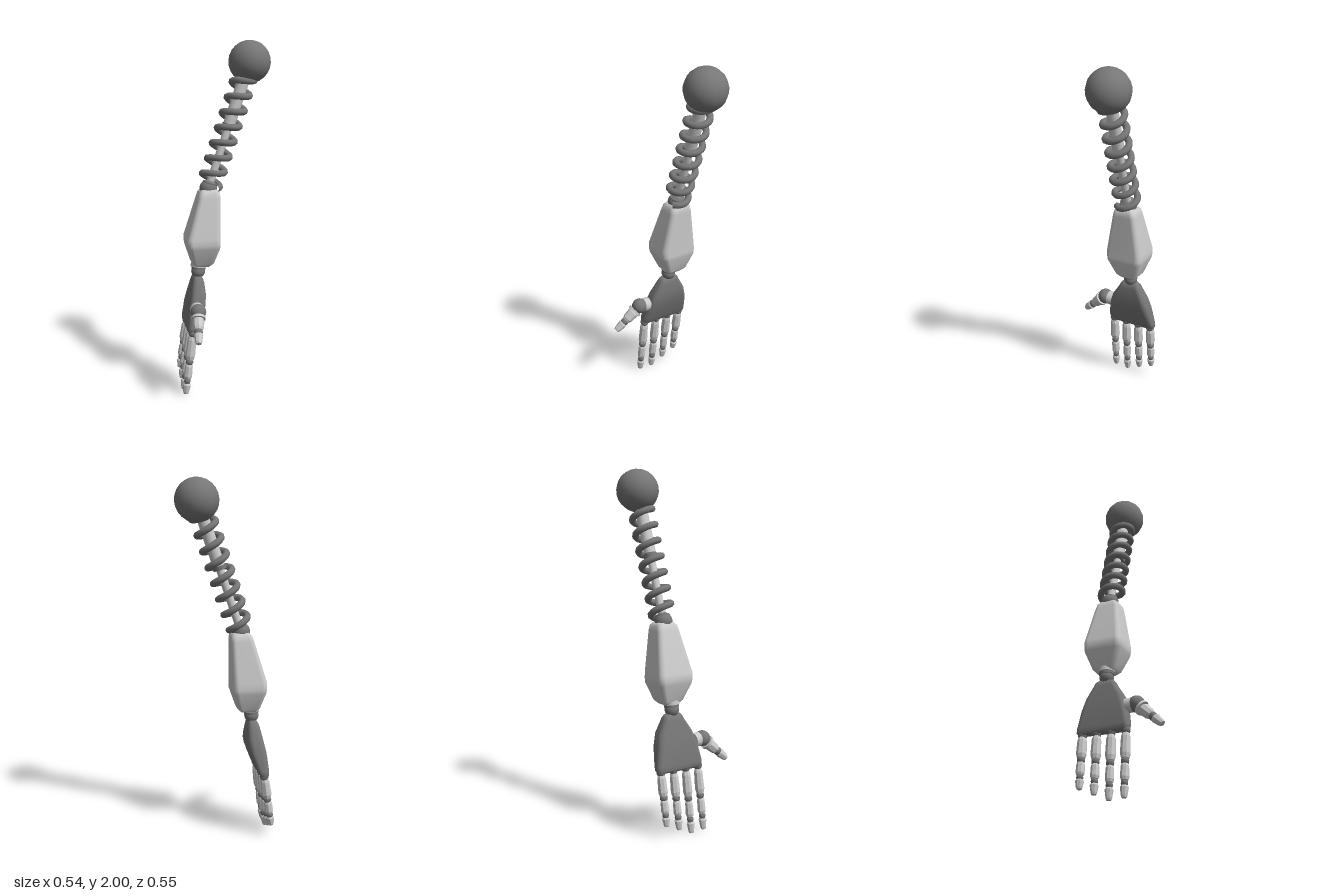
import * as THREE from 'three';

const V = (x, y, z) => new THREE.Vector3(x, y, z);
const light = new THREE.MeshStandardMaterial({ color: 0xcccccc });
const lightFlat = new THREE.MeshStandardMaterial({ color: 0xcccccc, flatShading: true });
const dark = new THREE.MeshStandardMaterial({ color: 0x777777 });
const YAW = 0.2;

function add(parent, name, geometry, material) {
  const mesh = new THREE.Mesh(geometry, material);
  mesh.name = name;
  parent.add(mesh);
  return mesh;
}

// Turn an upright object at the origin so that it runs from a towards b
function aim(object, a, b) {
  object.position.copy(a);
  object.quaternion.setFromUnitVectors(V(0, 1, 0), b.clone().sub(a).normalize());
  return object;
}

// Lathed part running from a to b; profile rows are [radius, fraction of length]
function turned(parent, name, a, b, profile, material, sides) {
  const len = a.distanceTo(b);
  const pts = profile.map(([r, t]) => new THREE.Vector2(r, t * len));
  return aim(add(parent, name, new THREE.LatheGeometry(pts, sides), material), a, b);
}

function rod(parent, name, a, b, r, material, sides = 12) {
  return turned(parent, name, a, b, [[0, 0], [r, 0], [r, 0], [r, 1], [r, 1], [0, 1]], material, sides);
}

function ball(parent, name, p, r, material = dark, ws = 16, hs = 12) {
  const mesh = add(parent, name, new THREE.SphereGeometry(r, ws, hs), material);
  mesh.position.copy(p);
  return mesh;
}

// Loft of rounded rectangles, bottom to top: [y, centre x, centre z, half width, half depth, corner]
function loft(sections, yaw) {
  const pos = [], index = [], steps = 4, n = 4 * (steps + 1);
  const c = Math.cos(yaw), s = Math.sin(yaw);
  for (const [y, cx, cz, hw, hd, r] of sections) {
    for (let k = 0; k < 4; k++) {
      const sx = k === 0 || k === 3 ? 1 : -1, sz = k < 2 ? 1 : -1;
      for (let j = 0; j <= steps; j++) {
        const a = (k + j / steps) * Math.PI / 2;
        const x = sx * (hw - r) + r * Math.cos(a), z = sz * (hd - r) + r * Math.sin(a);
        pos.push(cx + x * c + z * s, y, cz - x * s + z * c);
      }
    }
  }
  const rows = sections.length;
  for (let i = 0; i < rows - 1; i++) {
    for (let j = 0; j < n; j++) {
      const a = i * n + j, b = i * n + (j + 1) % n;
      index.push(a, a + n, b, b, a + n, b + n);
    }
  }
  // end caps
  const bottom = rows * n, top = bottom + 1, first = sections[0], last = sections[rows - 1];
  pos.push(first[1], first[0], first[2], last[1], last[0], last[2]);
  for (let j = 0; j < n; j++) {
    const k = (j + 1) % n, o = (rows - 1) * n;
    index.push(bottom, j, k, top, o + k, o + j);
  }
  const g = new THREE.BufferGeometry();
  g.setAttribute('position', new THREE.Float32BufferAttribute(pos, 3));
  g.setIndex(index);
  g.computeVertexNormals();
  return g;
}

// Faceted light sleeve with chamfered ends
function sleeve(parent, name, a, b, r0, r1) {
  const profile = [[0, 0], [r0 * 0.78, 0], [r0, 0.14], [r1, 0.82], [r1 * 0.78, 1], [0, 1]];
  return turned(parent, name, a, b, profile, lightFlat, 8);
}

// Finger: dark core and joints with three light sleeves, root to tip
function finger(name, root, tip) {
  const g = new THREE.Group();
  g.name = name;
  const at = t => root.clone().lerp(tip, t);
  rod(g, 'fingerCore', root, at(0.9), 0.016, dark, 8);
  [[0.0, 0.025], [0.47, 0.022], [0.79, 0.019]].forEach(([t, r]) => ball(g, 'fingerJoint', at(t), r, dark, 10, 8));
  sleeve(g, 'fingerBase', at(0.05), at(0.43), 0.025, 0.028);
  sleeve(g, 'fingerMiddle', at(0.51), at(0.75), 0.022, 0.024);
  sleeve(g, 'fingerTip', at(0.83), tip, 0.023, 0.017);
  return g;
}

export function createModel() {
  const model = new THREE.Group();
  model.name = 'springArm';

  // Shoulder and upper arm
  const elbow = V(-0.088, 1.165, -0.094), shoulder = V(0.147, 1.882, -0.155);
  const along = t => elbow.clone().lerp(shoulder, t);
  aim(ball(model, 'shoulderBall', shoulder, 0.119, dark, 16, 12), shoulder, shoulder.clone().add(shoulder).sub(elbow));
  ball(model, 'elbowBall', along(0.015), 0.05);
  rod(model, 'lowerRod', elbow, along(0.6), 0.022, light);
  rod(model, 'upperRod', along(0.5), along(0.95), 0.034, light);
  rod(model, 'rodCollar', along(0.49), along(0.52), 0.038, dark);
  rod(model, 'elbowCollar', along(0.0), along(0.06), 0.042, dark);

  // Coil spring round the rods
  const length = elbow.distanceTo(shoulder), turns = 7.6, helix = [];
  for (let i = 0; i <= turns * 14; i++) {
    const a = i / 14 * 2 * Math.PI + 0.8;
    helix.push(V(Math.sin(a) * 0.06, length * (0.035 + 0.119 * i / 14), Math.cos(a) * 0.06));
  }
  const path = new THREE.CatmullRomCurve3(helix);
  aim(add(model, 'spring', new THREE.TubeGeometry(path, 220, 0.019, 8), dark), elbow, shoulder);

  // Forearm shell
  add(model, 'forearm', loft([
    [0.725, -0.124, -0.083, 0.044, 0.048, 0.022],
    [0.745, -0.122, -0.083, 0.062, 0.068, 0.026],
    [0.84, -0.121, -0.081, 0.092, 0.106, 0.03],
    [0.865, -0.122, -0.08, 0.095, 0.109, 0.03],
    [0.9, -0.122, -0.08, 0.094, 0.108, 0.03],
    [1.125, -0.086, -0.093, 0.064, 0.07, 0.025],
    [1.155, -0.083, -0.094, 0.058, 0.063, 0.025],
    [1.172, -0.082, -0.094, 0.042, 0.046, 0.02],
  ], YAW), light);

  // Wrist
  const wristTop = V(-0.14, 0.745, -0.073), wristLow = V(-0.147, 0.66, -0.068);
  const wristAt = t => wristTop.clone().lerp(wristLow, t);
  rod(model, 'wristCollar', wristTop, wristAt(0.28), 0.046, light, 16);
  rod(model, 'wristRing', wristAt(0.28), wristAt(0.45), 0.041, dark, 16);
  ball(model, 'wristBall', wristAt(0.62), 0.04);

  // Palm
  add(model, 'palm', loft([
    [0.362, -0.197, -0.05, 0.02, 0.135, 0.016],
    [0.374, -0.196, -0.05, 0.027, 0.147, 0.022],
    [0.4, -0.19, -0.05, 0.033, 0.147, 0.025],
    [0.5, -0.166, -0.058, 0.046, 0.128, 0.03],
    [0.57, -0.154, -0.064, 0.043, 0.107, 0.03],
    [0.635, -0.15, -0.069, 0.034, 0.069, 0.026],
    [0.655, -0.149, -0.07, 0.028, 0.06, 0.022],
    [0.67, -0.149, -0.07, 0.018, 0.046, 0.014],
  ], YAW), dark);

  // Four fingers in a row
  [['indexFinger', 0.005], ['middleFinger', 0.0], ['ringFinger', 0.035], ['littleFinger', 0.07]].forEach(([name, tipY], i) => {
    const z = 0.075 - 0.08 * i, x = -0.171 - 0.016 * i;
    model.add(finger(name, V(x, 0.365, z), V(x - 0.042, tipY, z + 0.018)));
  });

  // Thumb
  const thumb = new THREE.Group();
  thumb.name = 'thumb';
  const base = V(-0.137, 0.508, 0.118), tip = V(-0.13, 0.375, 0.27);
  const t = k => base.clone().lerp(tip, k);
  rod(thumb, 'thumbSocket', V(-0.148, 0.505, 0.06), V(-0.14, 0.507, 0.095), 0.04, light, 16);
  ball(thumb, 'thumbBall', base, 0.045);
  rod(thumb, 'thumbCore', base, t(0.85), 0.018, dark, 8);
  rod(thumb, 'thumbCollar', t(0.17), t(0.24), 0.041, light, 16);
  sleeve(thumb, 'thumbBase', t(0.22), t(0.58), 0.034, 0.03);
  ball(thumb, 'thumbJoint', t(0.64), 0.024, dark, 10, 8);
  sleeve(thumb, 'thumbTip', t(0.69), tip, 0.026, 0.02);
  model.add(thumb);

  return model;
}
